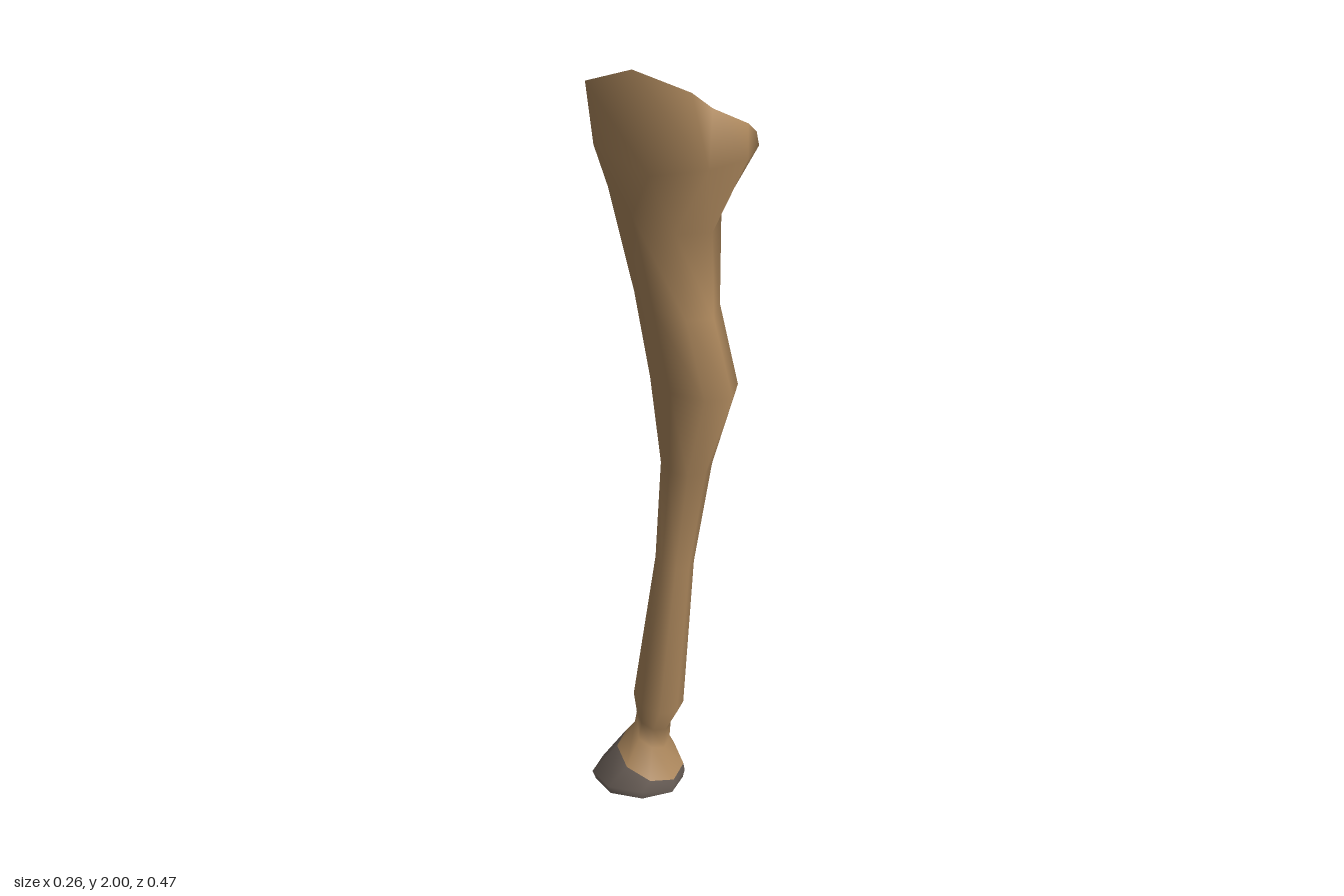
import * as THREE from 'three';

const SIDES = 8, CX = 0.015;

// Eight-sided cross-section, tilted from its front (+z) to its back.
// Each point is [u, x, y, z], u being its place around the loop (0..8).
function ring(rx, yFront, zFront, yBack, zBack) {
  const points = [];
  for (let k = 0; k < SIDES; k++) {
    const a = (k / SIDES) * Math.PI * 2, t = (1 - Math.cos(a)) / 2;
    points.push([k, CX + rx * Math.sin(a), yFront + (yBack - yFront) * t, zFront + (zBack - zFront) * t]);
  }
  return points;
}

// Skin a stack of loops from bottom to top; loops may differ in point count.
function loft(loops) {
  const pos = [], index = [], starts = [];
  for (const loop of loops) {
    starts.push(pos.length / 3);
    for (const p of loop) pos.push(p[1], p[2], p[3]);
  }
  for (let l = 0; l + 1 < loops.length; l++) {
    const A = loops[l], B = loops[l + 1];
    const u = (loop, i) => loop[i % loop.length][0] + (i >= loop.length ? SIDES : 0);
    const a = (i) => starts[l] + (i % A.length), b = (j) => starts[l + 1] + (j % B.length);
    let i = 0, j = 0;
    while (i < A.length || j < B.length) {
      const stepA = j >= B.length || (i < A.length && u(A, i + 1) <= u(B, j + 1));
      if (stepA) index.push(a(i), a(++i), b(j));
      else index.push(a(i), b(j + 1), b(j++));
    }
  }
  const g = new THREE.BufferGeometry();
  g.setAttribute('position', new THREE.Float32BufferAttribute(pos, 3));
  g.setIndex(index);
  g.computeVertexNormals();
  return g;
}

export function createModel() {
  const hide = new THREE.MeshStandardMaterial({ color: 0xb18b5f, side: THREE.DoubleSide });
  hide.name = 'tan hide';
  const horn = new THREE.MeshStandardMaterial({ color: 0x766a62, side: THREE.DoubleSide });
  horn.name = 'grey horn';

  const group = new THREE.Group();
  group.name = 'hoofedLeg';
  const add = (name, geometry, material) => {
    const mesh = new THREE.Mesh(geometry, material);
    mesh.name = name;
    group.add(mesh);
  };

  // slanted line where the hoof meets the skin
  const coronet = ring(0.082, 0.035, 0.0, 0.115, -0.148);

  // shoulder swelling below the open end
  const shoulder = [
    [0, 0.015, 1.785, 0.235], [1, 0.103, 1.77, 0.19], [2, 0.13, 1.68, 0.0], [3, 0.103, 1.66, -0.178],
    [4, 0.015, 1.655, -0.21], [5, -0.1, 1.73, -0.15], [6, -0.128, 1.73, 0.05], [7, -0.072, 1.775, 0.19],
  ];
  // slanted rim of the open end, high on the -x side
  const rim = [
    [0.4, 0.065, 1.845, 0.19], [1.2, 0.13, 1.785, 0.158], [1.5, 0.13, 1.753, 0.11],
    [2.6, 0.13, 1.715, -0.118], [3, 0.103, 1.705, -0.193], [4, 0.015, 1.69, -0.238],
    [4.3, -0.025, 1.77, -0.228], [5.1, -0.132, 1.915, -0.148], [6, -0.132, 2.0, 0.0],
    [7, -0.075, 1.965, 0.138], [7.6, -0.02, 1.907, 0.155],
  ];

  // leg: pastern, fetlock, shin, knee, thigh
  add('leg', loft([
    coronet,
    ring(0.043, 0.11, -0.03, 0.16, -0.11),
    ring(0.043, 0.16, -0.026, 0.204, -0.1),
    ring(0.058, 0.22, 0.01, 0.257, -0.106),
    ring(0.045, 0.618, 0.048, 0.64, -0.042),
    ring(0.06, 0.894, 0.1, 0.905, -0.02),
    ring(0.082, 1.127, 0.186, 1.13, -0.058),
    ring(0.083, 1.318, 0.127, 1.345, -0.106),
    ring(0.114, 1.547, 0.122, 1.62, -0.18),
    shoulder,
    rim,
  ]), hide);

  // hoof wall
  const sole = ring(0.1, 0, -0.005, 0, -0.212);
  add('hoof', loft([sole, ring(0.105, 0.018, 0.0, 0.018, -0.222), coronet]), horn);

  // flat underside of the hoof
  add('hoofSole', loft([[[0, CX, 0, -0.108]], sole]), horn);

  return group;
}
